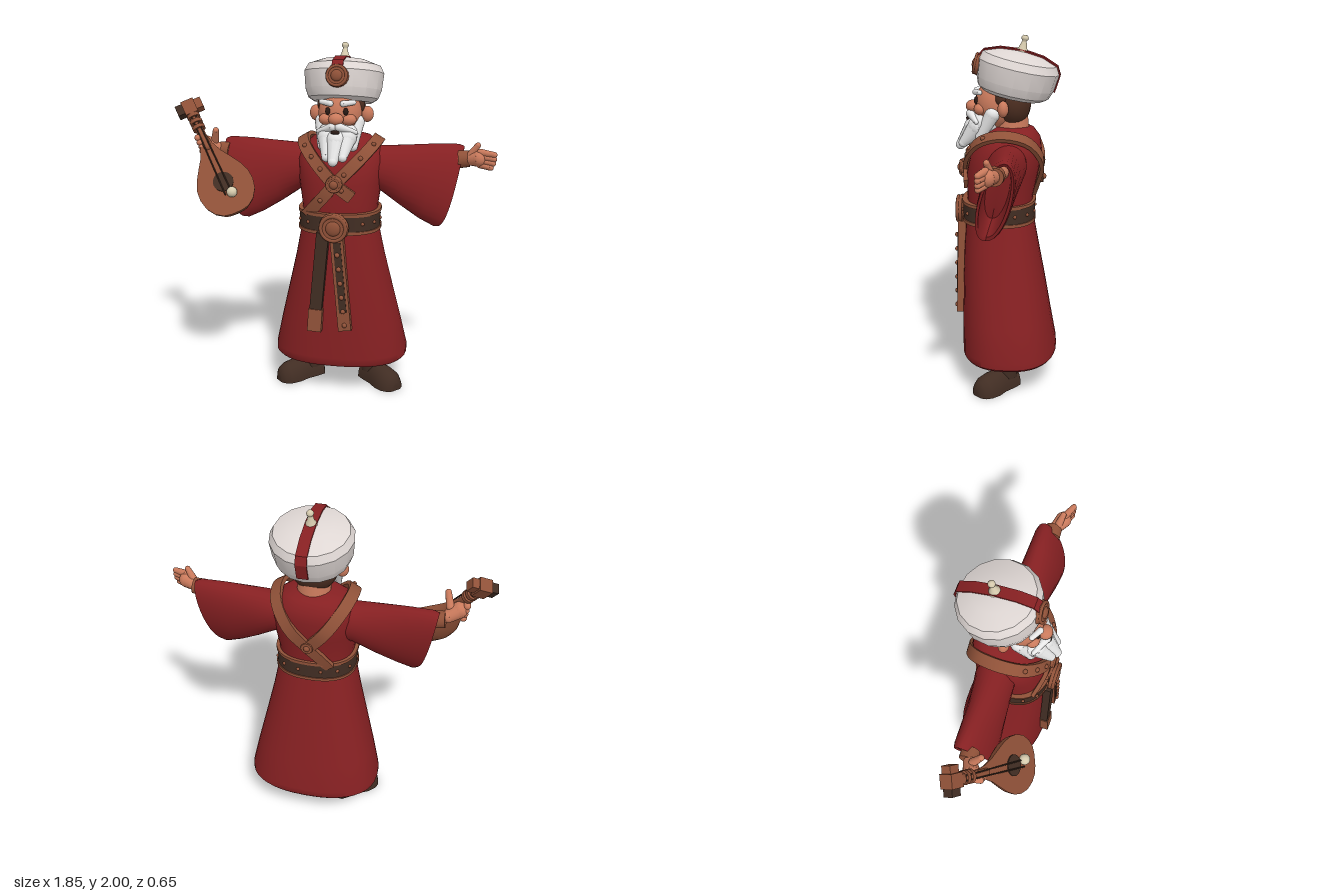
import * as THREE from 'three';
import { mergeGeometries, toCreasedNormals } from 'three/addons/utils/BufferGeometryUtils.js';

const V = (x, y, z) => new THREE.Vector3(x, y, z);
const paint = (name, color) => Object.assign(new THREE.MeshStandardMaterial({ color }), { name });
const UP = V(0, 1, 0);

// Skin a list of closed rings (equal point counts) and cap both ends
function loft(rings, crease = 0.75) {
  const n = rings[0].length, pts = rings.flat(), idx = [];
  for (let r = 0; r < rings.length - 1; r++) for (let i = 0; i < n; i++) {
    const a = r * n + i, b = r * n + (i + 1) % n;
    idx.push(a, b, a + n, b, b + n, a + n);
  }
  [0, rings.length - 1].forEach((r, k) => {
    const c = pts.length;
    pts.push(rings[r].reduce((s, p) => s.add(p), V(0, 0, 0)).divideScalar(n));
    for (let i = 0; i < n; i++) {
      const a = r * n + i, b = r * n + (i + 1) % n;
      k ? idx.push(c, a, b) : idx.push(c, b, a);
    }
  });
  // turn the faces outward
  let vol = 0;
  for (let i = 0; i < idx.length; i += 3) vol += pts[idx[i]].dot(pts[idx[i + 1]].clone().cross(pts[idx[i + 2]]));
  if (vol < 0) idx.reverse();
  const g = new THREE.BufferGeometry().setFromPoints(pts);
  g.setIndex(idx);
  return toCreasedNormals(g, crease);
}

// Horizontal rounded ring between back z0 and front z1
function ring(y, rx, z0, z1, e = 2.4, n = 40) {
  return Array.from({ length: n }, (_, i) => {
    const t = i / n * Math.PI * 2, c = Math.cos(t), s = Math.sin(t), p = 2 / e;
    return V(rx * Math.sign(c) * Math.abs(c) ** p, y, (z0 + z1) / 2 + (z1 - z0) / 2 * Math.sign(s) * Math.abs(s) ** p);
  });
}

// Flat-bottomed form along y, bulging to +z; rows are [y, halfWidth, height]
const halfLoft = rows => loft(rows.map(([y, w, h]) => Array.from({ length: 15 }, (_, i) =>
  V(w * Math.cos(i / 14 * Math.PI), y, h * Math.sin(i / 14 * Math.PI)))));

// Flat strap along points; normalAt gives its outward direction
function ribbon(pts, normalAt, width, thick) {
  return loft(pts.map((p, i) => {
    const t = pts[Math.min(i + 1, pts.length - 1)].clone().sub(pts[Math.max(i - 1, 0)]).normalize();
    const n = normalAt(p).normalize(), s = t.cross(n).normalize().multiplyScalar(width / 2);
    const up = n.clone().multiplyScalar(thick);
    return [p.clone().sub(s), p.clone().add(s), p.clone().add(s).add(up), p.clone().sub(s).add(up)];
  }), 0.5);
}

// Tapered round-ended bar from a to b
function limb(a, b, ra, rb = ra) {
  const d = b.clone().sub(a);
  const g = new THREE.CylinderGeometry(rb, ra, d.length(), 14);
  g.applyQuaternion(new THREE.Quaternion().setFromUnitVectors(UP, d.clone().normalize()));
  g.translate(...a.clone().add(b).multiplyScalar(0.5).toArray());
  return mergeGeometries([g, new THREE.SphereGeometry(ra, 14, 10).translate(a.x, a.y, a.z),
    new THREE.SphereGeometry(rb, 14, 10).translate(b.x, b.y, b.z)]);
}
const blob = (x, y, z, rx, ry = rx, rz = rx) => new THREE.SphereGeometry(1, 24, 16).scale(rx, ry, rz).translate(x, y, z);

export function createModel() {
  const red = paint('robe red', 0x862022), leather = paint('leather', 0x8f5138), dark = paint('dark leather', 0x412d23);
  const skin = paint('skin', 0xca7a5c), white = paint('beard white', 0xf3f3f3), cloth = paint('turban cloth', 0xded6d3);
  const hair = paint('hair brown', 0x4b2d20), cream = paint('cream', 0xd6cbae), ink = paint('eye dark', 0x2a1a15);
  const model = new THREE.Group();
  const man = new THREE.Group();
  man.name = 'man';
  man.position.x = 0.055;
  model.add(man);
  const add = (name, geo, mat, parent = man) => {
    const m = new THREE.Mesh(geo, mat);
    m.name = name;
    parent.add(m);
    return m;
  };
  // Round ornament facing +z
  const medallion = (name, x, y, z, r, parent = man) => {
    const g = new THREE.Group();
    g.name = name;
    g.position.set(x, y, z);
    add('disc', new THREE.CylinderGeometry(r * 0.9, r, 0.03, 20).rotateX(Math.PI / 2), leather, g);
    add('rim', new THREE.TorusGeometry(r * 0.82, r * 0.14, 8, 24).translate(0, 0, 0.01), leather, g);
    add('boss', blob(0, 0, 0.012, r * 0.5, r * 0.5, 0.018), leather, g);
    parent.add(g);
    return g;
  };

  // Robe
  add('skirt', loft([ring(0.185, 0.34, -0.26, 0.2), ring(0.17, 0.375, -0.295, 0.23), ring(0.185, 0.39, -0.306, 0.24),
    ring(0.22, 0.39, -0.303, 0.24), ring(0.4, 0.35, -0.27, 0.24), ring(0.6, 0.302, -0.235, 0.237),
    ring(0.8, 0.255, -0.197, 0.23), ring(1, 0.215, -0.16, 0.215)]), red);
  add('torso', loft([ring(0.98, 0.215, -0.16, 0.215), ring(1.1, 0.215, -0.16, 0.21), ring(1.24, 0.235, -0.19, 0.212),
    ring(1.36, 0.245, -0.208, 0.185), ring(1.43, 0.22, -0.2, 0.14), ring(1.48, 0.16, -0.165, 0.09),
    ring(1.5, 0.09, -0.12, 0.05)], 1.2), red);

  // Belt
  add('belt', loft([ring(0.97, 0.23, -0.172, 0.235), ring(1.08, 0.23, -0.172, 0.235)]), dark);
  for (const y of [0.974, 1.076]) add('beltRim', loft([ring(y - 0.009, 0.236, -0.177, 0.24), ring(y + 0.009, 0.236, -0.177, 0.24)]), leather);
  ring(1.025, 0.23, -0.173, 0.236, 2.4, 14).forEach(p => add('beltStud', blob(p.x, p.y, p.z, 0.01), leather));
  medallion('buckle', 0, 1.01, 0.255, 0.085);

  // Hanging belt ends
  const front = () => V(0, 0, 1);
  const tails = (x0, x1, y0, y1, z, w, t) => ribbon([V(x0, y0, z), V(x1, y1, z + 0.008)], front, w, t);
  add('darkTail', tails(-0.06, -0.1, 0.98, 0.53, 0.218, 0.07, 0.045), dark);
  add('darkTailTip', tails(-0.1, -0.107, 0.53, 0.4, 0.226, 0.08, 0.05), leather);
  add('studdedTail', tails(0.015, 0.068, 0.98, 0.41, 0.218, 0.074, 0.045), leather);
  add('studdedTailInlay', tails(0.02, 0.058, 0.93, 0.52, 0.26, 0.042, 0.007), dark);
  for (let i = 0; i < 6; i++) add('tailStud', blob(0.024 + i * 0.0085, 0.86 - i * 0.083, 0.272, 0.014), leather);

  // Shoulder straps
  const radial = p => V(p.x * 0.7, p.y - 1.22, p.z * 1.3);
  const curve = list => new THREE.CatmullRomCurve3(list.map(p => V(...p))).getPoints(36);
  const over = [[0.1, 1.35, 0.186], [0.18, 1.435, 0.112], [0.205, 1.465, 0], [0.18, 1.43, -0.13], [0.1, 1.32, -0.2], [0, 1.2, -0.18]];
  const long = curve([[-0.16, 1.07, 0.17], [-0.06, 1.18, 0.208], [0, 1.25, 0.21], ...over, [-0.06, 1.13, -0.162], [-0.11, 1.07, -0.148]]);
  const short = curve([[-0.09, 1.18, 0.2], [0, 1.25, 0.21], ...over].map(([x, y, z]) => [-x, y, z]));
  for (const [name, path] of [['longStrap', long], ['shortStrap', short]]) {
    add(name, ribbon(path, radial, 0.068, 0.024), leather);
    for (let i = 3; i < 16; i += 3) {
      const p = path[i].clone().add(radial(path[i]).normalize().multiplyScalar(0.024));
      add('strapStud', blob(p.x, p.y, p.z, 0.013), leather);
    }
  }
  medallion('chestClasp', 0, 1.255, 0.24, 0.048);
  medallion('backClasp', 0, 1.21, -0.205, 0.036).rotation.y = Math.PI;

  for (const s of [1, -1]) {
    // Sleeves with a hollow cuff: rows are top, bottom, half depth
    const oval = ([tx, ty, tz, bx, by, bz, d]) => Array.from({ length: 28 }, (_, i) => {
      const a = i / 28 * Math.PI * 2, k = (1 + Math.cos(a)) / 2;
      return V(s * (bx + (tx - bx) * Math.sqrt(k)), by + (ty - by) * k, bz + (tz - bz) * k + d * Math.sin(a));
    });
    add('sleeve', loft([[0.1, 1.43, -0.04, 0.1, 1.19, -0.02, 0.1], [0.24, 1.43, -0.035, 0.22, 1.18, -0.01, 0.11],
      [0.38, 1.44, -0.035, 0.34, 1.1, 0.015, 0.1], [0.53, 1.45, -0.04, 0.45, 1.035, 0.04, 0.095],
      [0.66, 1.452, -0.045, 0.535, 0.997, 0.055, 0.09], [0.69, 1.44, -0.045, 0.555, 1, 0.06, 0.085],
      [0.68, 1.425, -0.043, 0.555, 1.02, 0.058, 0.07], [0.52, 1.42, -0.03, 0.45, 1.09, 0.035, 0.06]].map(oval)), red);
    add('forearm', limb(V(s * 0.48, 1.35, -0.02), V(s * 0.69, 1.375, 0), 0.04, 0.036), skin);
    add('bracelet', new THREE.CylinderGeometry(0.046, 0.05, 0.06, 18).rotateZ(-s * (Math.PI / 2 - 0.1))
      .translate(s * 0.69, 1.376, 0), leather);

    // Boots
    const boot = new THREE.Group();
    boot.name = 'boot';
    boot.position.set(s * 0.188, 0, -0.022);
    boot.rotation.y = s * 0.82;
    add('foot', halfLoft([[-0.075, 0.04, 0.06], [-0.06, 0.06, 0.1], [0, 0.066, 0.13], [0.06, 0.066, 0.12], [0.12, 0.08, 0.115],
      [0.175, 0.076, 0.105], [0.208, 0.058, 0.085], [0.225, 0.03, 0.05]]).rotateX(-Math.PI / 2).rotateY(Math.PI), dark, boot);
    add('shaft', new THREE.CylinderGeometry(0.078, 0.064, 0.25, 18).translate(0, 0.185, 0), dark, boot);
    man.add(boot);

    // Paired face parts
    add('ear', blob(s * 0.145, 1.612, 0.0, 0.037, 0.045, 0.03), skin);
    add('sideburn', blob(s * 0.112, 1.665, 0.015, 0.022, 0.04, 0.03), hair);
    add('eye', blob(s * 0.05, 1.645, 0.155, 0.014, 0.021, 0.012), ink);
    add('cheek', blob(s * 0.06, 1.598, 0.13, 0.045, 0.033, 0.038), skin);
    add('eyebrow', limb(V(s * 0.035, 1.688, 0.16), V(s * 0.09, 1.693, 0.132), 0.017, 0.014), white);
    add('moustache', limb(V(s * 0.018, 1.566, 0.192), V(s * 0.105, 1.532, 0.15), 0.024, 0.012), white);
    add('beardLock', limb(V(s * 0.05, 1.5, 0.145), V(s * 0.045, 1.405, 0.23), 0.06, 0.026), white);
    add('beardSide', limb(V(s * 0.098, 1.575, 0.062), V(s * 0.085, 1.45, 0.13), 0.042, 0.028), white);
  }

  // Head
  add('neck', new THREE.CylinderGeometry(0.085, 0.1, 0.16, 20).translate(0, 1.51, -0.04), skin);
  add('face', blob(0, 1.62, 0.045, 0.122, 0.14, 0.12), skin);
  add('nose', blob(0, 1.605, 0.18, 0.042, 0.034, 0.038), skin);
  add('hair', blob(0, 1.625, -0.045, 0.132, 0.13, 0.1), hair);
  add('mouth', blob(0, 1.537, 0.205, 0.026, 0.012, 0.012), ink);
  add('beard', blob(0, 1.515, 0.11, 0.115, 0.075, 0.085), white);
  add('beardTip', limb(V(0, 1.485, 0.165), V(-0.005, 1.385, 0.25), 0.066, 0.028), white);

  // Turban, leaning back
  const hat = new THREE.Group();
  hat.name = 'turban';
  hat.position.set(0, 1.668, -0.04);
  hat.rotation.x = -0.22;
  man.add(hat);
  const prof = [[0, 0.02], [0.165, 0], [0.2, 0.022], [0.218, 0.07], [0.228, 0.165], [0.205, 0.207], [0.12, 0.238], [0, 0.25]];
  const wrap = new THREE.LatheGeometry(prof.map(p => new THREE.Vector2(...p)), 16);
  add('wrap', toCreasedNormals(wrap, 0.42), cloth, hat);
  const arc = prof.slice(3).map(([r, y]) => V(0, y, r));
  const stripe = [...arc, ...arc.slice(0, -1).reverse().map(p => V(0, p.y, -p.z))];
  add('stripe', ribbon(stripe, p => V(0, p.y - 0.06, p.z * 0.8), 0.062, 0.008), red, hat);
  add('finial', new THREE.LatheGeometry([[0, 0], [0.036, 0], [0.034, 0.018], [0.022, 0.035], [0.014, 0.065], [0.011, 0.072],
    [0.019, 0.08], [0.02, 0.09], [0.012, 0.102], [0, 0.104]].map(p => new THREE.Vector2(...p)), 18).translate(0, 0.232, 0), cream, hat);
  medallion('turbanBrooch', 0, 0.125, 0.225, 0.064, hat);

  // Open left hand
  add('palm', limb(V(0.72, 1.38, 0.01), V(0.775, 1.388, 0.035), 0.036, 0.046), skin);
  for (let i = 0; i < 4; i++)
    add('finger', limb(V(0.78, 1.357 + i * 0.022, 0.04), V(0.84 + [0, 0.012, 0.016, 0.016][i], 1.347 + i * 0.024, 0.07), 0.021, 0.016), skin);
  add('thumb', limb(V(0.725, 1.4, 0.02), V(0.765, 1.462, 0.035), 0.023, 0.016), skin);

  // Right hand gripping the lute
  add('palm', limb(V(-0.73, 1.39, 0.02), V(-0.785, 1.42, 0.05), 0.037, 0.047), skin);
  for (let i = 0; i < 4; i++)
    add('finger', limb(V(-0.81 - i * 0.005, 1.375 + i * 0.026, 0.045), V(-0.78 - i * 0.012, 1.385 + i * 0.026, 0.11), 0.02, 0.018), skin);
  add('thumb', limb(V(-0.735, 1.44, 0.04), V(-0.715, 1.505, 0.08), 0.023, 0.017), skin);

  // Lute: y runs along the neck, z out of the soundboard
  const lute = new THREE.Group();
  lute.name = 'lute';
  lute.position.set(-0.58, 1.24, 0.225);
  const ay = V(-0.51, 0.74, -0.44).normalize(), ax = ay.clone().cross(V(0.12, 0.57, 0.81)).normalize();
  lute.quaternion.setFromRotationMatrix(new THREE.Matrix4().makeBasis(ax, ay, ax.clone().cross(ay)));
  model.add(lute);
  const bowl = [[-0.2, 0.03], [-0.19, 0.075], [-0.16, 0.115], [-0.11, 0.147], [-0.05, 0.16], [0.01, 0.155], [0.07, 0.132],
    [0.13, 0.097], [0.19, 0.06], [0.25, 0.036], [0.31, 0.025]];
  add('bowl', halfLoft(bowl.map(([y, w]) => [y, w, w * 0.75])).rotateY(Math.PI), leather, lute);
  add('soundHole', new THREE.CylinderGeometry(0.058, 0.058, 0.008, 24).rotateX(Math.PI / 2).translate(0, 0, 0.002), dark, lute);
  add('bead', blob(0.02, -0.083, 0.015, 0.03), cream, lute);
  add('neck', limb(V(0, 0.24, -0.008), V(0, 0.49, -0.008), 0.024), leather, lute);
  for (const x of [-0.012, 0.012]) add('string', limb(V(x * 1.6, -0.08, 0.01), V(x, 0.47, 0.02), 0.004), dark, lute);
  for (const y of [0.37, 0.41, 0.45])
    add('neckRing', new THREE.CylinderGeometry(0.038, 0.038, 0.022, 10).translate(0, y, -0.008), leather, lute);
  add('pegBox', new THREE.BoxGeometry(0.075, 0.09, 0.075).translate(0, 0.505, -0.01), leather, lute);
  for (const s of [-1, 1])
    add('pegKnob', new THREE.BoxGeometry(0.045, 0.065, 0.055).translate(s * 0.055, 0.51, -0.01), s < 0 ? dark : leather, lute);
  return model;
}
